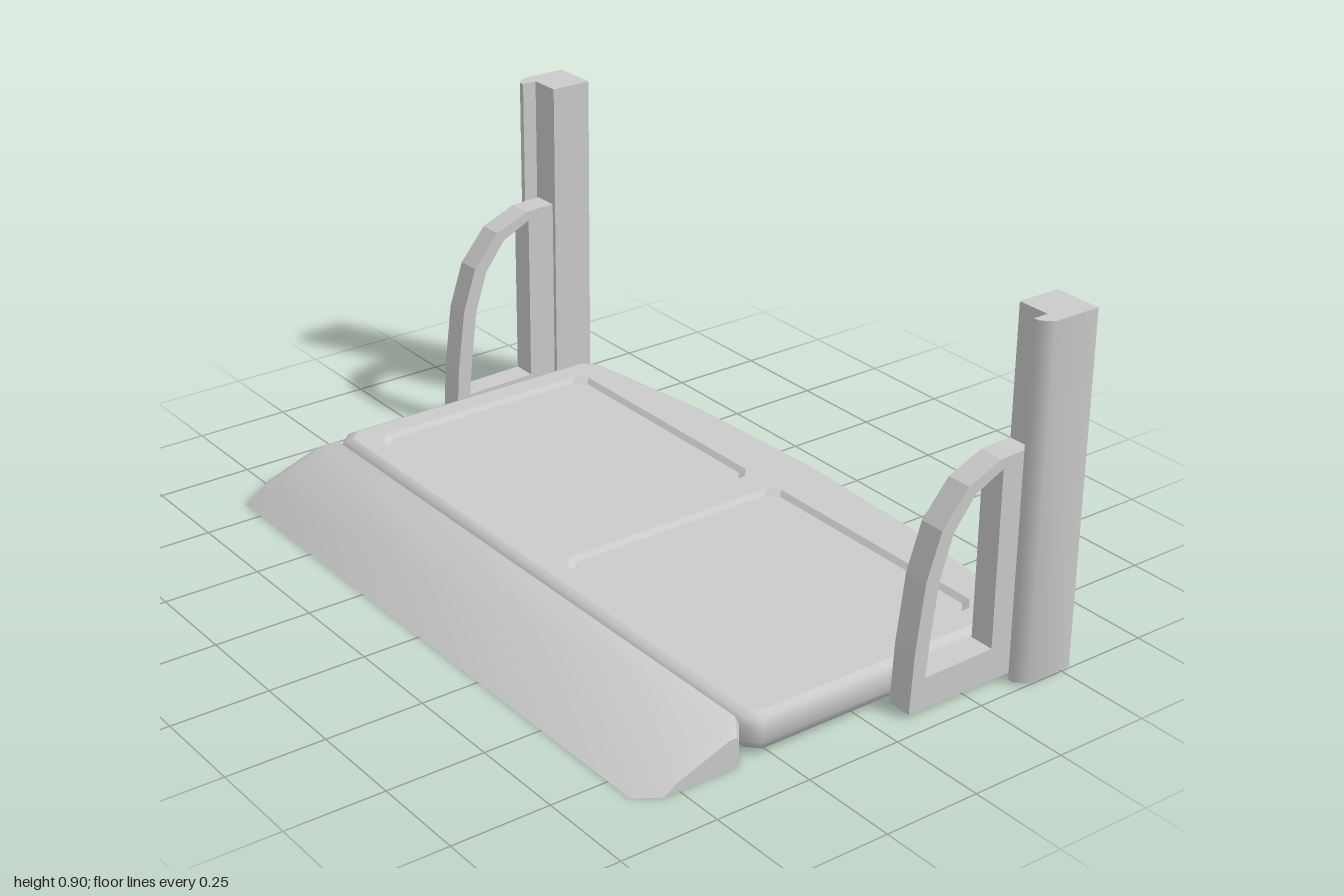
import * as THREE from 'three';
import { toCreasedNormals } from 'three/addons/utils/BufferGeometryUtils.js';

const material = new THREE.MeshStandardMaterial({ color: 0xcccccc, side: THREE.DoubleSide });

function addMesh(parent, name, geometry) {
  const mesh = new THREE.Mesh(geometry, material);
  mesh.name = name;
  parent.add(mesh);
  return mesh;
}

// Skin a row of cross-sections, each a list of [x, y, z]
function loft(loops, closed = true, crease = 1) {
  const n = loops[0].length;
  const index = [];
  for (let k = 0; k < loops.length - 1; k++) {
    for (let i = 0; i < (closed ? n : n - 1); i++) {
      const j = (i + 1) % n, a = k * n, b = a + n;
      index.push(a + i, a + j, b + i, a + j, b + j, b + i);
    }
  }
  const geometry = new THREE.BufferGeometry();
  geometry.setAttribute('position', new THREE.Float32BufferAttribute(loops.flat(2), 3));
  geometry.setIndex(index);
  return toCreasedNormals(geometry, crease);
}

const vectors = (points) => points.map(([x, y]) => new THREE.Vector2(x, y));
const atHeight = (points, y) => points.map(([x, z]) => [x, y, z]);

// Horizontal sheet from [x, z] outlines, facing up or down
function sheet(outline, y, up, holes = []) {
  const s = up ? -1 : 1;
  const flat = (points) => vectors(points.map(([x, z]) => [x, s * z]));
  const shape = new THREE.Shape(flat(outline));
  shape.holes = holes.map((h) => new THREE.Path(flat(h)));
  return new THREE.ShapeGeometry(shape).rotateX(s * Math.PI / 2).translate(0, y, 0);
}

// Rectangle with cut corners, shrunk by an inset
function cutRect(x0, x1, z0, z1, inset, c = 0.028) {
  x0 += inset; x1 -= inset; z0 += inset; z1 -= inset;
  return [[x0 + c, z1], [x1 - c, z1], [x1, z1 - c], [x1, z0 + c],
    [x1 - c, z0], [x0 + c, z0], [x0, z0 + c], [x0, z1 - c]];
}

function createDeck() {
  const deck = new THREE.Group();
  deck.name = 'deck';
  const half = [[-0.305, 0.84], [-0.275, 0.87], [0.49, 0.87], [0.52, 0.84], [0.574, 0.45]];
  const outline = [...half, [0.594, 0], ...half.map(([x, z]) => [x, -z]).reverse()];
  const inset = (d) => outline.map(([x, z]) =>
    [0.14 + (x - 0.14) * (1 - d / 0.45), z * (1 - d / 0.87)]);

  // Rounded rim
  const rim = [[0.025, 0.005], [0.007, 0.015], [0, 0.035], [0, 0.075], [0.008, 0.092], [0.025, 0.1]];
  addMesh(deck, 'deckRim', loft(rim.map(([d, y]) => atHeight(inset(d), y))));

  // Two panels, shallow from above and deep from below
  const windows = [[-0.225, 0.433, 0.042, 0.787], [-0.225, 0.433, -0.787, -0.042]];
  const holes = windows.map((w) => cutRect(...w, 0));
  addMesh(deck, 'deckTop', sheet(inset(0.025), 0.1, true, holes));
  addMesh(deck, 'deckUnderside', sheet(inset(0.025), 0.005, false, holes));
  windows.forEach((w, i) => {
    const upper = cutRect(...w, 0.012), lower = cutRect(...w, 0.035);
    addMesh(deck, 'panelStep', loft([atHeight(holes[i], 0.1), atHeight(upper, 0.088)], true, 0.5));
    addMesh(deck, 'panelTop', sheet(upper, 0.088, true));
    addMesh(deck, 'panelRecess', loft([atHeight(lower, 0.07), atHeight(holes[i], 0.005)]));
    addMesh(deck, 'panelUnderside', sheet(lower, 0.07, false));
  });
  return deck;
}

function createRamp() {
  const ramp = new THREE.Group();
  ramp.name = 'ramp';
  const full = [[-0.308, 0], [-0.308, 0.075], [-0.32, 0.099], [-0.347, 0.099], [-0.55, 0.032], [-0.6, 0]];
  const end = [[-0.34, 0], [-0.34, 0.06], [-0.346, 0.075], [-0.365, 0.075], [-0.51, 0.022], [-0.54, 0]];
  const sections = [[end, -0.87], [full, -0.83], [full, 0.83], [end, 0.87]];
  addMesh(ramp, 'rampBody', loft(sections.map(([p, z]) => p.map(([x, y]) => [x, y, z])), true, 0.8));
  for (const s of [1, -1]) {
    const cap = new THREE.ShapeGeometry(new THREE.Shape(vectors(end)));
    if (s < 0) cap.rotateY(Math.PI).scale(-1, 1, 1);
    addMesh(ramp, 'rampEnd', cap.translate(0, 0, s * 0.87));
  }
  return ramp;
}

function createSide() {
  const side = new THREE.Group();

  // Column: channel open along its +x side
  const channel = [[0.523, 0.876], [0.41, 0.876], [0.41, 0.96], [0.37, 0.96],
    [0.37, 0.975], [0.395, 1], [0.523, 1]];
  addMesh(side, 'column', loft([atHeight(channel, 0.005), atHeight(channel, 0.9)], false, 0.8));
  addMesh(side, 'columnCap', sheet(channel, 0.9, true));

  // Arched handrail
  const rail = new THREE.Shape(vectors([[0.405, 0.01], [0.405, 0.576], [0.37, 0.576], [0.318, 0.573],
    [0.225, 0.535], [0.152, 0.449], [0.113, 0.333], [0.091, 0.165], [0.082, 0.01]]));
  rail.holes.push(new THREE.Path(vectors([[0.326, 0.094], [0.326, 0.548], [0.246, 0.51],
    [0.187, 0.433], [0.152, 0.324], [0.133, 0.174], [0.126, 0.09]])));
  addMesh(side, 'handrail', new THREE.ExtrudeGeometry(rail, { depth: 0.065, bevelEnabled: false })
    .translate(0, 0, 0.88));
  return side;
}

export function createModel() {
  const model = new THREE.Group();
  model.name = 'liftPlatform';
  model.add(createDeck(), createRamp());
  for (const s of [1, -1]) {
    const side = createSide();
    side.name = s > 0 ? 'frontSide' : 'backSide';
    side.scale.z = s;
    model.add(side);
  }
  return model;
}
